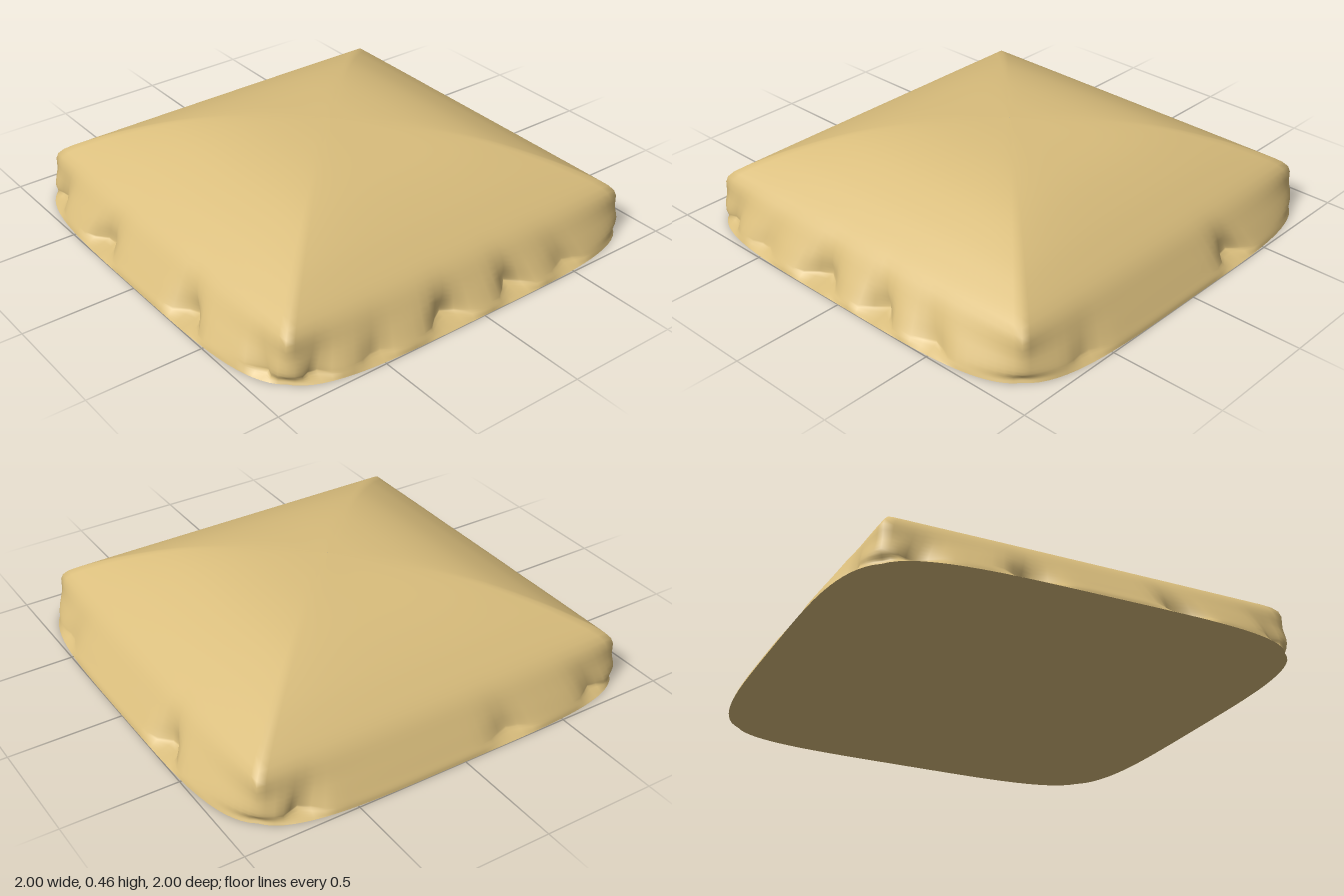
import * as THREE from 'three';

const PER_SIDE = 40;
const COUNT = PER_SIDE * 4;
const ROWS = 36;

// Pinched folds near the hem: position on the unit square, depth, width
const folds = [
  [-0.8, 1, 0.06, 0.08], [-0.32, 1, 0.09, 0.08], [0.34, 1, 0.1, 0.07], [0.84, 1, 0.04, 0.05],
  [1, 0.82, 0.05, 0.06], [1, 0.52, 0.04, 0.07], [1, 0.15, 0.1, 0.08], [1, -0.2, 0.1, 0.06], [1, -0.5, 0.05, 0.07],
  [-0.33, -1, 0.09, 0.07], [0.62, -1, 0.03, 0.08],
  [-1, -0.75, 0.06, 0.07], [-1, 0.25, 0.05, 0.08], [-1, 0.75, 0.05, 0.07],
];

// Profile from hem to crown: half width, height, corner rounding
const profile = new THREE.CatmullRomCurve3([
  [1, 0, 0.13], [0.995, 0.015, 0.13], [0.975, 0.045, 0.1], [0.93, 0.11, 0.065],
  [0.86, 0.2, 0.005], [0.75, 0.275, 0.01], [0.65, 0.33, 0.03], [0.5, 0.393, 0.06],
  [0.35, 0.43, 0.1], [0.18, 0.449, 0.15], [0.001, 0.455, 0.2],
].map((p) => new THREE.Vector3(...p)));

// Walk round the unit square, counter-clockwise from above
function squarePoint(j) {
  const v = (2 * (j % PER_SIDE)) / PER_SIDE - 1;
  return [[v, 1], [1, -v], [-v, -1], [-1, v]][Math.floor(j / PER_SIDE) % 4];
}

function ringPoint(j, s, y, rounding) {
  const [x, z] = squarePoint(j);
  const v = Math.min(Math.abs(x), Math.abs(z));
  const r = s * (1 - rounding * v ** 4);
  const weight = Math.min(1, y / 0.025) * Math.exp(-((y / 0.1) ** 2));
  let pinch = 0;
  for (const [fx, fz, depth, width] of folds) {
    pinch += depth * Math.exp(-((x - fx) ** 2 + (z - fz) ** 2) / width ** 2);
  }
  // Folds push straight in from their own side
  const inX = Math.abs(x) === 1 ? 1 : 0;
  const inZ = Math.abs(z) === 1 ? 1 : 0;
  const d = pinch * weight;
  return [x * (r - inX * d), y, z * (r - inZ * d)];
}

function makeGeometry(positions, indices) {
  const g = new THREE.BufferGeometry();
  g.setAttribute('position', new THREE.Float32BufferAttribute(positions, 3));
  g.setIndex(indices);
  g.computeVertexNormals();
  return g;
}

export function createModel() {
  const group = new THREE.Group();
  group.name = 'cushion';
  const fabric = new THREE.MeshStandardMaterial({ color: 0xd9bd7c });

  // Puffed upper cover lofted through the rings
  const positions = [];
  const indices = [];
  for (let i = 0; i <= ROWS; i++) {
    const p = profile.getPoint(i / ROWS);
    for (let j = 0; j < COUNT; j++) {
      positions.push(...ringPoint(j, p.x, Math.max(0, p.y), p.z));
      if (i === ROWS) continue;
      const a = i * COUNT + j;
      const b = i * COUNT + ((j + 1) % COUNT);
      indices.push(a, b, a + COUNT, b, b + COUNT, a + COUNT);
    }
  }
  const cover = new THREE.Mesh(makeGeometry(positions, indices), fabric);
  cover.name = 'puffedCover';

  // Flat underside
  const basePositions = [0, 0, 0];
  const baseIndices = [];
  for (let j = 0; j < COUNT; j++) {
    basePositions.push(...ringPoint(j, 1, 0, 0.13));
    baseIndices.push(0, ((j + 1) % COUNT) + 1, j + 1);
  }
  const base = new THREE.Mesh(makeGeometry(basePositions, baseIndices), fabric);
  base.name = 'flatUnderside';

  group.add(cover, base);
  return group;
}
